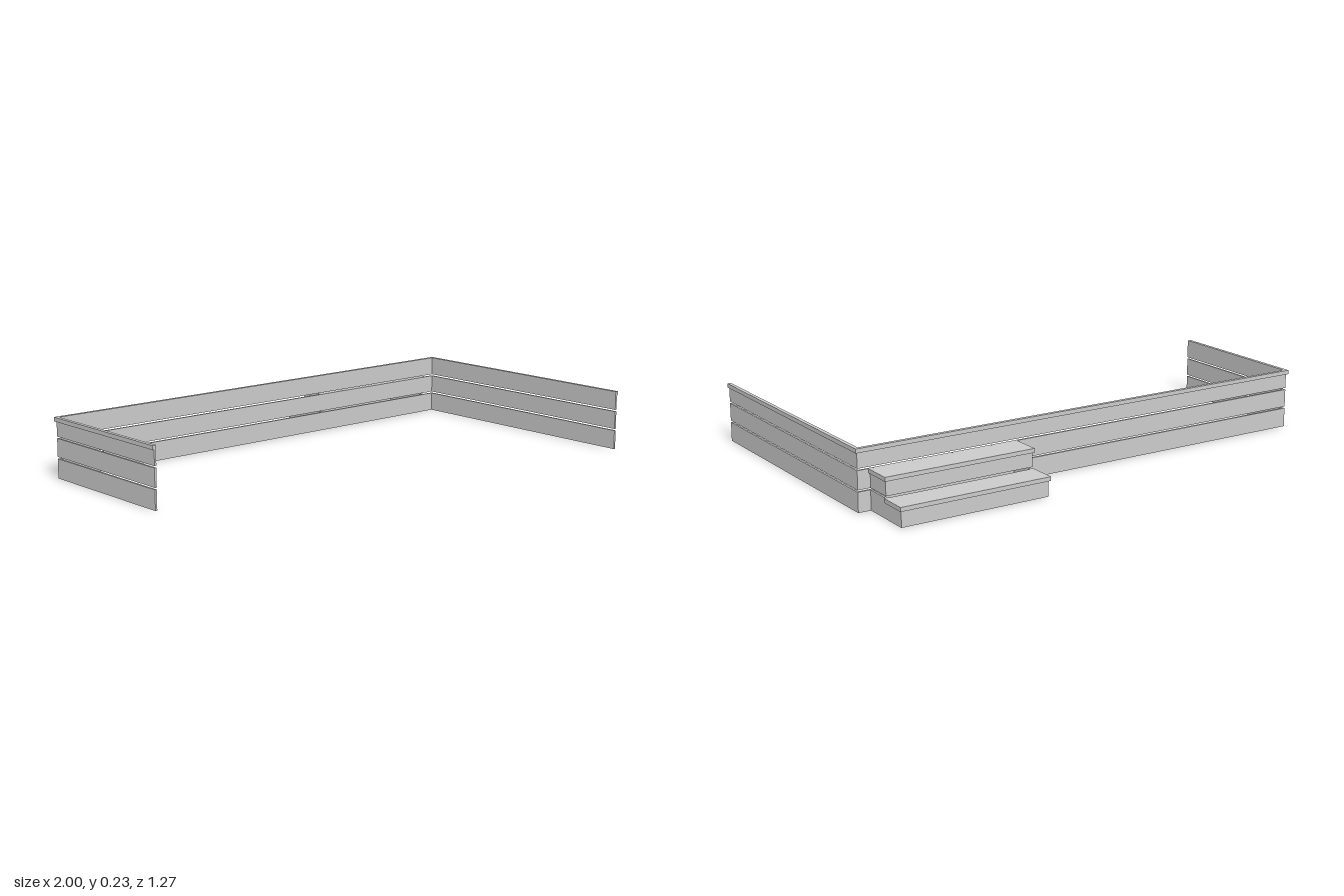
import * as THREE from 'three';

const material = new THREE.MeshStandardMaterial({ color: 0xcccccc, flatShading: true });

// Outer line of the three-sided skirting, as [x, z]
const path = [[-0.975, 0.255], [-0.992, -0.365], [0.957, -0.41], [0.99, 0.635]]
  .map(([x, z]) => new THREE.Vector2(x, z));

// Path moved outwards by d, with mitred corners
function offsetPath(d) {
  const normals = path.slice(1).map((p, i) => {
    const t = p.clone().sub(path[i]).normalize();
    return new THREE.Vector2(t.y, -t.x);
  });
  return path.map((p, i) => {
    const a = normals[Math.max(i - 1, 0)];
    const b = normals[Math.min(i, normals.length - 1)];
    const m = a.clone().add(b);
    return p.clone().addScaledVector(m, d / (1 + a.dot(b)));
  });
}

// Upright strip following the path from y0 to y1
function strip(name, outer, inner, y0, y1) {
  const outline = [...offsetPath(outer), ...offsetPath(inner).reverse()];
  const shape = new THREE.Shape(outline.map(p => new THREE.Vector2(p.x, -p.y)));
  const geo = new THREE.ExtrudeGeometry(shape, { depth: y1 - y0, bevelEnabled: false });
  geo.rotateX(-Math.PI / 2);
  geo.translate(0, y0, 0);
  const mesh = new THREE.Mesh(geo, material);
  mesh.name = name;
  return mesh;
}

// Box given by its limits
function box(name, x0, x1, y0, y1, z0, z1) {
  const mesh = new THREE.Mesh(new THREE.BoxGeometry(x1 - x0, y1 - y0, z1 - z0), material);
  mesh.position.set((x0 + x1) / 2, (y0 + y1) / 2, (z0 + z1) / 2);
  mesh.name = name;
  return mesh;
}

// Hollow step: riser, two side panels and a tread that overhangs them
function step(name, y0, y1, back, depth) {
  const g = new THREE.Group();
  g.name = name;
  const w = 0.3, t = 0.008, top = y1 - 0.016, face = -(depth - 0.007);
  g.add(box('riser', -w, w, y0, top, face, face + t));
  for (const s of [-1, 1]) {
    const x0 = s < 0 ? -w : w - t;
    g.add(box('sidePanel', x0, x0 + t, y0, top, face + t, 0));
    if (back < 0) g.add(box('sidePanelTop', x0, x0 + t, top, y1, back, 0));
  }
  g.add(box('tread', -w - 0.006, w + 0.006, top, y1, -depth, back));
  return g;
}

export function createModel() {
  const model = new THREE.Group();
  model.name = 'deckSkirtingWithSteps';

  // Three courses of boards with open gaps, and a cap on top
  const courses = [[0, 0.076], [0.083, 0.154], [0.161, 0.219]];
  courses.forEach(([y0, y1]) => model.add(strip('skirtingBoards', 0, -0.008, y0, y1)));
  model.add(strip('capRail', 0.007, -0.008, 0.219, 0.235));

  // Steps set against the slightly skewed back run
  const steps = new THREE.Group();
  steps.name = 'steps';
  steps.add(step('lowerStep', 0, 0.076, -0.109, 0.222));
  steps.add(step('upperStep', 0.083, 0.154, 0, 0.117));
  steps.position.set(0.607, 0, -0.402);
  steps.rotation.y = 0.0231;
  model.add(steps);

  return model;
}
